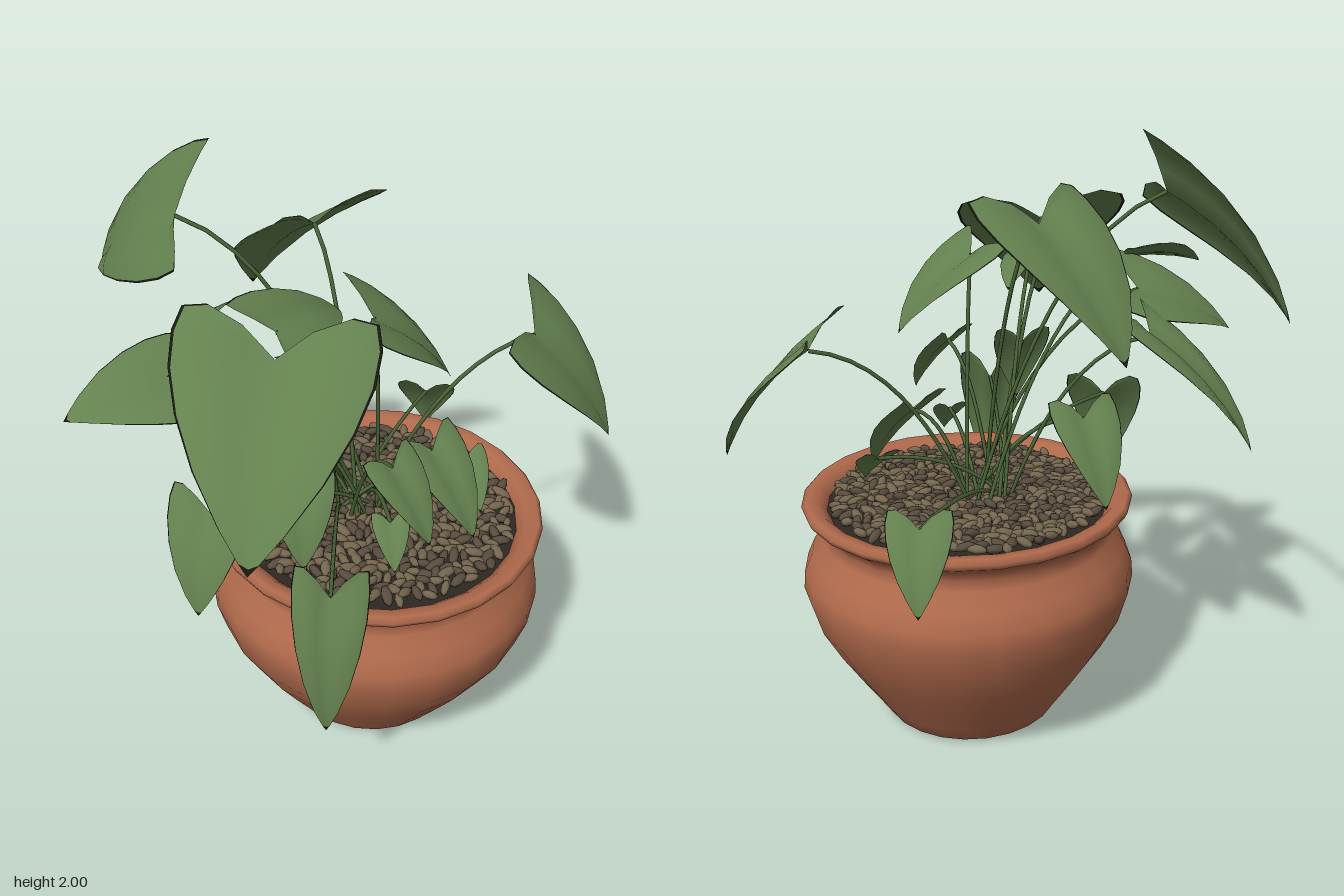
import * as THREE from 'three';
import { mergeGeometries, mergeVertices } from 'three/addons/utils/BufferGeometryUtils.js';

const CX = 0.105, CZ = 0.215; // pot axis

function material(name, color, side = THREE.FrontSide) {
  const m = new THREE.MeshStandardMaterial({ color, side });
  m.name = name;
  return m;
}

// small seeded random generator
let seed = 7;
const rand = () => (seed = (seed * 16807) % 2147483647) / 2147483647;

// half outline of a heart leaf: [along midrib, across towards the lobe]
const OUTLINE = [[0, 0], [-0.07, 0.35], [-0.08, 0.72], [-0.02, 0.97], [0.12, 1.03],
  [0.3, 1], [0.5, 0.86], [0.7, 0.62], [0.87, 0.32], [0.965, 0.1], [1, 0]];
// columns from midrib to edge; the last one is the dark margin
const COLUMNS = [0, 0.3, 0.6, 0.85, 0.97, 1];

// heart-shaped blade from stalk joint to tip, rolled about its midrib
function leafGeometry(base, tip, width, roll) {
  const axis = tip.clone().sub(base);
  const len = axis.length(), dir = axis.clone().normalize();
  const across = dir.clone().cross(new THREE.Vector3(0, 1, 0)).normalize().applyAxisAngle(dir, -roll);
  const normal = across.clone().cross(dir);
  const K = COLUMNS.length, pos = [], blade = [], margin = [];
  for (const sign of [1, -1]) {
    const lobe = across.clone().multiplyScalar(sign * width / 2).addScaledVector(axis, -0.2);
    const start = pos.length / 3;
    for (const [s, q] of OUTLINE) {
      const mid = Math.max(s, 0);
      for (const f of COLUMNS) {
        const u = mid + (s - mid) * f, w = q * f;
        const lift = len * (0.3 * mid * (1 - mid) + 0.16 * w * (1 - w));
        const p = base.clone().addScaledVector(axis, u).addScaledVector(lobe, w).addScaledVector(normal, lift);
        pos.push(p.x, p.y, p.z);
      }
    }
    for (let i = 0; i < OUTLINE.length - 1; i++) {
      for (let k = 0; k < K - 1; k++) {
        const a = start + i * K + k, c = a + K;
        const faces = k === K - 2 || i === OUTLINE.length - 2 ? margin : blade;
        if (sign < 0) faces.push(a, c, a + 1, a + 1, c, c + 1);
        else faces.push(a, a + 1, c, a + 1, c + 1, c);
      }
    }
  }
  let g = new THREE.BufferGeometry();
  g.setAttribute('position', new THREE.Float32BufferAttribute(pos, 3));
  g.setIndex([...blade, ...margin]);
  g = mergeVertices(g, 1e-4);
  g.computeVertexNormals();
  g.addGroup(0, blade.length, 0);
  g.addGroup(blade.length, margin.length, 1);
  return g;
}

// stalk rising from the soil and bending over to the leaf
function stemGeometry(end, i) {
  const a = i * 2.4;
  const start = new THREE.Vector3(0.08 + 0.07 * Math.cos(a), 0.76, 0.15 + 0.07 * Math.sin(a));
  const control = start.clone().lerp(end, 0.4);
  control.y = 0.81 + (end.y - 0.78) * 0.85;
  return new THREE.TubeGeometry(new THREE.QuadraticBezierCurve3(start, control, end), 12, 0.007, 5);
}

// tall leaves: joint xyz, tip xyz, width, roll
const TALL = [
  [-0.22, 1.8, -0.33, -0.16, 1.46, -0.78, 0.44, 0.85],
  [0.12, 1.73, -0.08, 0.2, 1.36, -0.43, 0.45, 0],
  [-0.4, 1.63, 0.24, -0.78, 1.25, 0.49, 0.56, 0.07],
  [0.01, 1.58, 0.25, 0.21, 1.34, 0.4, 0.4, 0],
  [-0.26, 1.6, 0.11, 0.08, 1.5, 0.06, 0.29, -0.4],
  [-0.52, 1.5, -0.03, -0.82, 1.45, -0.17, 0.31, 0.36],
  [-0.37, 1.44, -0.16, -0.64, 1.27, -0.38, 0.42, -0.35],
  [-0.14, 1.36, -0.33, -0.22, 1.01, -0.66, 0.3, 0],
  [0.56, 1.36, 0.47, 0.69, 1.01, 0.72, 0.52, 0],
];

// low and overhanging leaves: joint xyz, tip xyz
const LOW = [
  [-0.14, 1.22, 0.46, -0.15, 1.02, 0.62],
  [-0.35, 1.19, 0.29, -0.42, 0.95, 0.36],
  [0.17, 1.07, 0.38, 0.15, 0.83, 0.58],
  [0.34, 0.95, 0.4, 0.27, 0.83, 0.52],
  [-0.11, 0.98, 0.44, -0.18, 0.87, 0.52],
  [-0.04, 1.08, -0.15, 0.05, 0.82, -0.29],
  [-0.48, 0.98, 0.52, -0.55, 0.51, 0.57, 0.22],
  [-0.47, 1.01, 0.02, -0.59, 0.69, 0.07],
  [0.62, 0.9, 0.02, 0.73, 0.67, -0.05],
];

export function createModel() {
  const model = new THREE.Group();
  const clay = material('terracotta', 0xb06a4c);
  const green = material('leaf green', 0x64814f, THREE.DoubleSide);
  const edge = material('dark leaf edge', 0x141810, THREE.DoubleSide);
  const stalk = material('stem green', 0x4c6639);
  const soilDark = material('dark soil', 0x2e2822);
  const stones = [material('brown pebble', 0x74664f), material('dark pebble', 0x574c3e)];
  const add = (parent, name, geometry, mat) => {
    const mesh = new THREE.Mesh(geometry, mat);
    mesh.name = name;
    parent.add(mesh);
  };

  // pot
  const pot = new THREE.Group();
  pot.name = 'pot';
  pot.position.set(CX, 0, CZ);
  model.add(pot);
  const profile = [[0.265, 0], [0.3, 0.008], [0.34, 0.07], [0.4, 0.16], [0.47, 0.27], [0.53, 0.38],
    [0.562, 0.49], [0.557, 0.55], [0.53, 0.61], [0.49, 0.665], [0.483, 0.7], [0.5, 0.735],
    [0.545, 0.765], [0.554, 0.785], [0.54, 0.8], [0.5, 0.795], [0.47, 0.765], [0.455, 0.72]];
  add(pot, 'potWall', new THREE.LatheGeometry(profile.map(([x, y]) => new THREE.Vector2(x, y)), 24), clay);
  add(pot, 'potBase', new THREE.CircleGeometry(0.265, 24).rotateX(Math.PI / 2), clay);

  // soil with a layer of pebbles in two tones
  add(pot, 'soil', new THREE.CircleGeometry(0.475, 24).rotateX(-Math.PI / 2).translate(0, 0.765, 0), soilDark);
  const pebbles = [[], []], count = 520;
  for (let i = 0; i < count; i++) {
    const r = 0.45 * Math.sqrt((i + 0.5) / count), a = i * 2.39996;
    const size = 0.8 + 0.4 * rand();
    pebbles[rand() < 0.6 ? 0 : 1].push(new THREE.SphereGeometry(1, 7, 5)
      .scale(0.033 * size, 0.014, 0.016 * size)
      .rotateZ((rand() - 0.5) * 0.8)
      .rotateY(rand() * Math.PI)
      .translate(r * Math.cos(a), 0.777 + 0.014 * rand(), r * Math.sin(a)));
  }
  stones.forEach((stone, i) => add(pot, `pebbles${i + 1}`, mergeGeometries(pebbles[i]), stone));

  // plant; low leaves take their width from their length
  const plant = new THREE.Group();
  plant.name = 'plant';
  model.add(plant);
  [...TALL, ...LOW].forEach((leaf, i) => {
    const base = new THREE.Vector3().fromArray(leaf), tip = new THREE.Vector3().fromArray(leaf, 3);
    const [width = 0.75 * base.distanceTo(tip), roll = 0] = leaf.slice(6);
    add(plant, `leaf${i + 1}`, leafGeometry(base, tip, width, roll), [green, edge]);
    add(plant, `stem${i + 1}`, stemGeometry(base, i), stalk);
  });
  return model;
}
